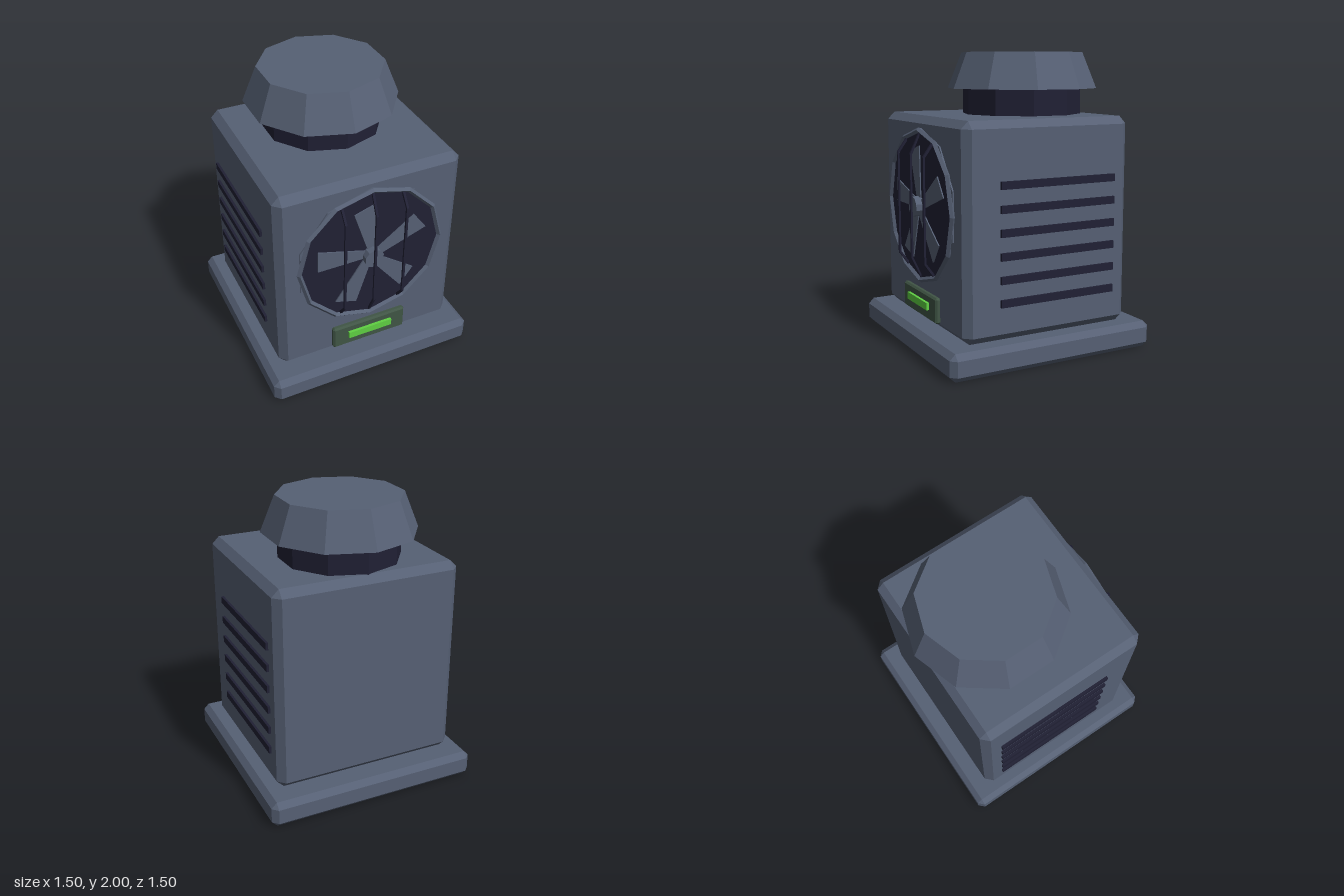
import * as THREE from 'three';
import { ConvexGeometry } from 'three/addons/geometries/ConvexGeometry.js';

const material = (name, color) => {
  const m = new THREE.MeshStandardMaterial({ color });
  m.name = name;
  return m;
};

// Faceted normals for low-poly parts
function flat(geometry) {
  const g = geometry.index ? geometry.toNonIndexed() : geometry;
  g.computeVertexNormals();
  return g;
}

// Box with every edge and corner cut by c
function chamferBox(w, h, d, c) {
  const points = [];
  for (const sx of [-1, 1]) for (const sy of [-1, 1]) for (const sz of [-1, 1]) {
    const x = w / 2, y = h / 2, z = d / 2;
    points.push(
      new THREE.Vector3(sx * x, sy * (y - c), sz * (z - c)),
      new THREE.Vector3(sx * (x - c), sy * y, sz * (z - c)),
      new THREE.Vector3(sx * (x - c), sy * (y - c), sz * z));
  }
  return new ConvexGeometry(points);
}

export function createModel() {
  const slate = material('slate', 0x566074);
  const dark = material('dark', 0x202034);
  const panelGreen = material('panel green', 0x405545);
  const lightGreen = material('light green', 0x5fd042);

  const model = new THREE.Group();
  model.name = 'heater';
  const add = (name, geometry, mat, x = 0, y = 0, z = 0, parent = model) => {
    const mesh = new THREE.Mesh(flat(geometry), mat);
    mesh.name = name;
    mesh.position.set(x, y, z);
    parent.add(mesh);
    return mesh;
  };

  // Plinth and body
  add('base', chamferBox(1.5, 0.18, 1.5, 0.038), slate, 0, 0.09, 0);
  add('body', chamferBox(1.3, 1.4, 1.22, 0.05), slate, 0, 0.88, 0);

  // Vent stack with flared cap
  add('ventNeck', new THREE.CylinderGeometry(0.4125, 0.4125, 0.2, 10), dark, 0, 1.665, -0.153);
  add('ventCap', new THREE.CylinderGeometry(0.4235, 0.522, 0.245, 10), slate, 0, 1.8775, -0.153);

  // Side louvers
  for (const side of [-1, 1])
    for (let i = 0; i < 6; i++)
      add('louver', new THREE.BoxGeometry(0.05, 0.05, 0.85), dark, side * 0.642, 0.43 + i * 0.15, -0.06);

  // Front fan
  const fan = new THREE.Group();
  fan.name = 'fan';
  fan.position.set(0, 0.98, 0.61);
  model.add(fan);

  const disc = (r, depth, sides) => new THREE.CylinderGeometry(r, r, depth, sides).rotateX(Math.PI / 2);
  add('fanHousing', disc(0.522, 0.03, 10), slate, 0, 0, -0.005, fan);
  add('fanRecess', disc(0.5, 0.02, 12), dark, 0, 0, 0.006, fan);
  add('fanRing', new THREE.TorusGeometry(0.509, 0.018, 4, 12), slate, 0, 0, 0.017, fan);
  add('fanHub', disc(0.068, 0.06, 10), slate, 0, 0, 0.04, fan);

  // Five swept blades
  const bladeShape = new THREE.Shape([
    [0.04, 0.013], [0.05, -0.05], [0.382, -0.146], [0.382, 0.013],
  ].map(p => new THREE.Vector2(...p)));
  for (let i = 0; i < 5; i++) {
    const blade = new THREE.ExtrudeGeometry(bladeShape, { depth: 0.008, bevelEnabled: false });
    add('fanBlade', blade, slate, 0, 0, 0.018, fan).rotation.z = Math.PI / 5 + i * Math.PI * 2 / 5;
  }

  // Bent guard bars, drawn as a side profile and extruded across x
  for (const [x, half] of [[-0.215, 0.455], [0, 0.505], [0.215, 0.455]]) {
    const k = 0.35;
    const profile = new THREE.Shape([
      [0.012, half], [0.086, k], [0.086, -k], [0.012, -half],
      [0.012, -half + 0.03], [0.072, -k + 0.005], [0.072, k - 0.005], [0.012, half - 0.03],
    ].map(([z, y]) => new THREE.Vector2(-z, y)));
    const bar = new THREE.ExtrudeGeometry(profile, { depth: 0.016, bevelEnabled: false });
    bar.translate(0, 0, -0.008).rotateY(Math.PI / 2);
    // local -x of the profile turns to +z
    add('guardBar', bar, dark, x, 0, 0, fan);
  }

  // Status display
  add('displayPanel', chamferBox(0.545, 0.175, 0.05, 0.012), panelGreen, 0, 0.318, 0.616);
  add('displayLight', new THREE.BoxGeometry(0.325, 0.05, 0.03), lightGreen, 0, 0.328, 0.645);

  return model;
}
